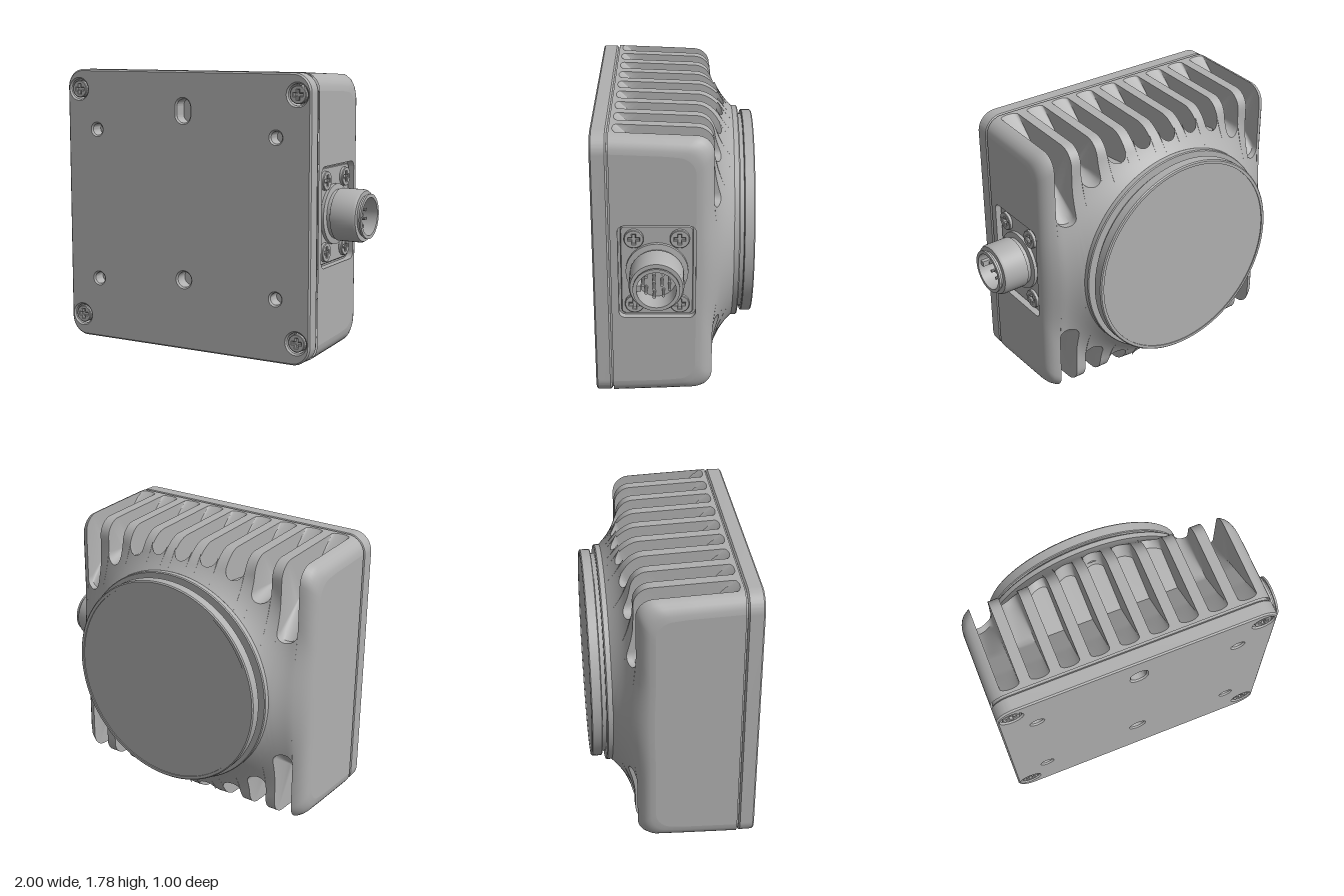
import * as THREE from 'three';
import { toCreasedNormals } from 'three/addons/utils/BufferGeometryUtils.js';

const CX = -0.108, CY = 0.89;             // housing centre
const HALF = 0.892, HALF_Y = 0.89;        // half width and half height
const ROUND = 0.11, SLOT = 0.06, PITCH = 0.187;
const FRONT_Z = 0.385, NECK = 0.7;

const metal = new THREE.MeshStandardMaterial({ color: 0xb0b0b0, side: THREE.DoubleSide });
metal.name = 'grey metal';

function add(parent, geometry, name, x = 0, y = 0, z = 0) {
  const mesh = new THREE.Mesh(toCreasedNormals(geometry, 0.6), metal);
  mesh.name = name;
  mesh.position.set(x, y, z);
  parent.add(mesh);
  return mesh;
}

function roundedRect(w, h, r, Kind = THREE.Shape, x = 0, y = 0) {
  const s = new Kind(), a = w / 2 - r, b = h / 2 - r;
  s.absarc(x + a, y + b, r, 0, Math.PI / 2);
  s.absarc(x - a, y + b, r, Math.PI / 2, Math.PI);
  s.absarc(x - a, y - b, r, Math.PI, Math.PI * 1.5);
  s.absarc(x + a, y - b, r, Math.PI * 1.5, Math.PI * 2);
  s.closePath();
  return s;
}

function extrude(shape, depth, bevel = 0) {
  return new THREE.ExtrudeGeometry(shape, {
    depth: depth - 2 * bevel, bevelEnabled: bevel > 0, bevelSize: bevel, bevelThickness: bevel,
    bevelOffset: -bevel, bevelSegments: 1, curveSegments: 12,
  }).translate(0, 0, bevel);
}

const lathe = (pts, n = 64) => new THREE.LatheGeometry(pts.map(p => new THREE.Vector2(...p)), n);

// Inset of a rounded edge at distance e from the side
const inset = e => e >= ROUND ? 0 : ROUND - Math.sqrt(Math.max(0, ROUND ** 2 - (ROUND - e) ** 2));

// Rear surface, flaring towards the round neck
function rearZ(dx, dy) {
  const r = Math.max(NECK, Math.hypot(dx, dy));
  return -0.24 - 0.13 * Math.max(0, (0.95 - r) / 0.25) ** 2;
}

// Cross-section at dx, as [z, dy] from top front over the rear to bottom front
function section(dx, slotX = null) {
  const K = 8, s = inset(HALF - Math.abs(dx));
  const top = z => HALF_Y - s - 0.04 * (FRONT_Z - z);
  const rear = dy => rearZ(dx, dy) + s;
  const line = (a, b) => Array.from({ length: K }, (_, i) => {
    const t = (i + 1) / K;
    return [a[0] + (b[0] - a[0]) * t, a[1] + (b[1] - a[1]) * t];
  });
  const u = slotX === null ? 0 : dx - slotX;
  const arc = SLOT - Math.sqrt(Math.max(0, SLOT ** 2 - u * u));
  const near = slotX === null ? dx : slotX;
  const rEnd = 0.76 + 0.107 * Math.abs(near);
  const end = Math.sqrt(Math.max(0.1, rEnd ** 2 - near ** 2)) + arc;
  const zB = 0.365 - 0.4 * arc, B = [zB, top(zB)], E = [rear(end), end];
  const pts = [[FRONT_Z, top(FRONT_Z)], B];
  if (slotX !== null) {
    // Slot floor: a ramp down from the front edge, then on towards the rear end
    const path = [B, [0.21, 0.76], [0.05, 0.64], [E[0] + 0.04, Math.min(0.67, end)], E];
    for (let i = 0; i < 4; i++) pts.push(...line(path[i], path[i + 1]));
  } else {
    const yC = top(-0.14), C = [rear(yC) + ROUND, yC], M = [0.05, top(0.05)];
    pts.push(...line(B, M), ...line(M, C));
    for (let i = 1; i <= K; i++) {
      const a = i / K * Math.PI / 2, dy = yC - ROUND * (1 - Math.cos(a));
      pts.push([rear(dy) + ROUND * (1 - Math.sin(a)), dy]);
    }
    const y0 = yC - ROUND, y1 = Math.min(end, y0 - 0.01);
    for (let i = 1; i <= K; i++) {
      const dy = y0 + (y1 - y0) * i / K;
      pts.push([rear(dy), dy]);
    }
  }
  // Flare down to the neck circle, then flat to the middle
  const last = pts[pts.length - 1][1];
  const foot = Math.min(last, Math.sqrt(Math.max(0, NECK ** 2 - dx * dx)));
  for (let i = 1; i <= 12; i++) { const dy = last + (foot - last) * i / 12; pts.push([rear(dy), dy]); }
  pts.push([rear(0), 0]);
  return pts.concat(pts.slice(0, -1).reverse().map(([z, dy]) => [z, -dy]));
}

// Finned housing lofted across its width
function housingGeometry() {
  const rings = [];
  const put = (dx, slotX = null) => rings.push({ dx, pts: section(dx, slotX) });
  const edge = HALF - 4 * PITCH - SLOT;
  const ends = [0, 0.004, 0.012, 0.025, 0.045, edge * 0.9];
  ends.forEach(e => put(-HALF + e));
  for (let k = -4; k <= 4; k++) {
    const c = k * PITCH;
    put(c - SLOT);
    for (let i = -6; i <= 6; i++) put(c + SLOT * Math.sin(i / 6 * Math.PI / 2), c);
    put(c + SLOT);
    if (k < 4) for (const t of [0.25, 0.5, 0.75]) put(c + SLOT + (PITCH - 2 * SLOT) * t);
  }
  ends.reverse().forEach(e => put(HALF - e));
  const n = rings[0].pts.length, pos = [], idx = [];
  rings.forEach(({ dx, pts }) => pts.forEach(([z, dy]) => pos.push(CX + dx, CY + dy, z)));
  for (let i = 0; i < rings.length - 1; i++) for (let j = 0; j < n - 1; j++) {
    const a = i * n + j, b = a + n;
    idx.push(a, b, a + 1, b, b + 1, a + 1);
  }
  const g = new THREE.BufferGeometry();
  g.setAttribute('position', new THREE.Float32BufferAttribute(pos, 3));
  g.setIndex(idx);
  return g;
}

// Cross-head screw facing +z
function screw(r) {
  const g = new THREE.Group();
  g.name = 'screw';
  const head = new THREE.Shape().absarc(0, 0, r, 0, Math.PI * 2);
  const a = r * 0.16, b = r * 0.55;
  head.holes.push(new THREE.Path([[a, a], [a, b], [-a, b], [-a, a], [-b, a], [-b, -a], [-a, -a],
    [-a, -b], [a, -b], [a, -a], [b, -a], [b, a]].map(p => new THREE.Vector2(...p))));
  add(g, extrude(head, 0.025, 0.004), 'screwHead');
  add(g, new THREE.CircleGeometry(r * 0.9, 24), 'screwRecess', 0, 0, 0.004);
  return g;
}

function createModel() {
  const model = new THREE.Group();
  model.name = 'sensorHousing';
  add(model, housingGeometry(), 'finnedHousing');

  // Flat side walls, the left one with a pocket for the connector
  const PZ = 0.105, PY = 0.895, PW = 0.47, PH = 0.63;
  for (const side of [-1, 1]) {
    const outline = section(side * HALF).map(([z, dy]) => new THREE.Vector2(-z, CY + dy));
    const wall = new THREE.Shape(outline.filter((p, i) => i === 0 || p.distanceTo(outline[i - 1]) > 1e-5));
    if (side > 0) wall.holes.push(roundedRect(PW, PH, 0.04, THREE.Path, -PZ, PY));
    add(model, new THREE.ShapeGeometry(wall).rotateY(Math.PI / 2), 'sideWall', CX + side * HALF);
  }

  // Front cover with mounting holes, over a thin recessed gasket
  const cover = roundedRect(2 * HALF, 2 * HALF_Y, 0.12);
  const hole = (x, y, r) => cover.holes.push(new THREE.Path().absarc(x - CX, y - CY, r, 0, Math.PI * 2));
  for (const y of [0.4, 1.39]) for (const x of [-0.77, 0.55]) hole(x, y, 0.038);
  hole(CX, 0.455, 0.05);
  cover.holes.push(roundedRect(0.098, 0.15, 0.048, THREE.Path, 0, 1.53 - CY));
  for (const y of [0.14, 1.65]) for (const x of [-0.91, 0.693]) {
    hole(x, y, 0.066);
    const s = screw(0.056);
    s.position.set(x, y, 0.465);
    model.add(s);
    add(model, new THREE.CylinderGeometry(0.056, 0.056, 0.06, 24).rotateX(Math.PI / 2), 'screwShank', x, y, 0.435);
  }
  add(model, extrude(cover, 0.1, 0.01), 'frontCover', CX, CY, 0.395);
  add(model, extrude(roundedRect(1.76, 1.755, 0.11), 0.03), 'gasket', CX, CY, 0.375);

  // Round neck and lens disc at the rear
  const lens = lathe([[NECK, 0.28], [NECK, 0.4], [0.695, 0.407], [0.645, 0.407], [0.645, 0.432], [0.667, 0.432],
    [0.672, 0.437], [0.672, 0.493], [0.665, 0.5], [0.647, 0.5], [0.647, 0.494], [0, 0.494]], 96);
  add(model, lens.rotateX(-Math.PI / 2), 'neckAndLens', CX, CY, 0);

  // Connector, built facing +z and turned to +x
  const plug = new THREE.Group();
  plug.name = 'connector';
  plug.position.set(0, PY, PZ);
  plug.rotation.y = Math.PI / 2;
  const frame = roundedRect(PW + 0.02, PH + 0.02, 0.05);
  frame.holes.push(roundedRect(PW, PH, 0.04, THREE.Path));
  add(plug, extrude(frame, 0.053), 'pocketWall', 0, 0, 0.73);
  add(plug, extrude(roundedRect(PW + 0.01, PH + 0.01, 0.045), 0.015), 'pocketFloor', 0, 0, 0.725);
  add(plug, extrude(roundedRect(PW - 0.03, PH - 0.03, 0.03), 0.02, 0.005), 'flange', 0, 0, 0.735);
  const barrel = lathe([[0.19, 0.74], [0.19, 0.775], [0.155, 0.78], [0.155, 0.8], [0.165, 0.805], [0.165, 0.955],
    [0.157, 0.97], [0.128, 0.97], [0.128, 0.985], [0.14, 0.987], [0.14, 1], [0.118, 1], [0.118, 0.86], [0, 0.86]], 48);
  add(plug, barrel.rotateX(Math.PI / 2), 'barrel');
  add(plug, new THREE.BoxGeometry(0.03, 0.035, 0.12), 'keyRib', -0.105, 0, 0.92);
  const pin = (r, a) => add(plug, new THREE.CylinderGeometry(0.01, 0.01, 0.08, 10).rotateX(Math.PI / 2),
    'pin', r * Math.cos(a), r * Math.sin(a), 0.9);
  for (let i = 0; i < 9; i++) pin(0.082, (i + 0.5) / 9 * Math.PI * 2);
  for (let i = 0; i < 3; i++) pin(0.032, i / 3 * Math.PI * 2);
  for (const x of [-0.138, 0.138]) for (const y of [-0.223, 0.222]) {
    const s = screw(0.06);
    s.position.set(x, y, 0.752);
    plug.add(s);
  }
  model.add(plug);
  return model;
}

export { createModel };
